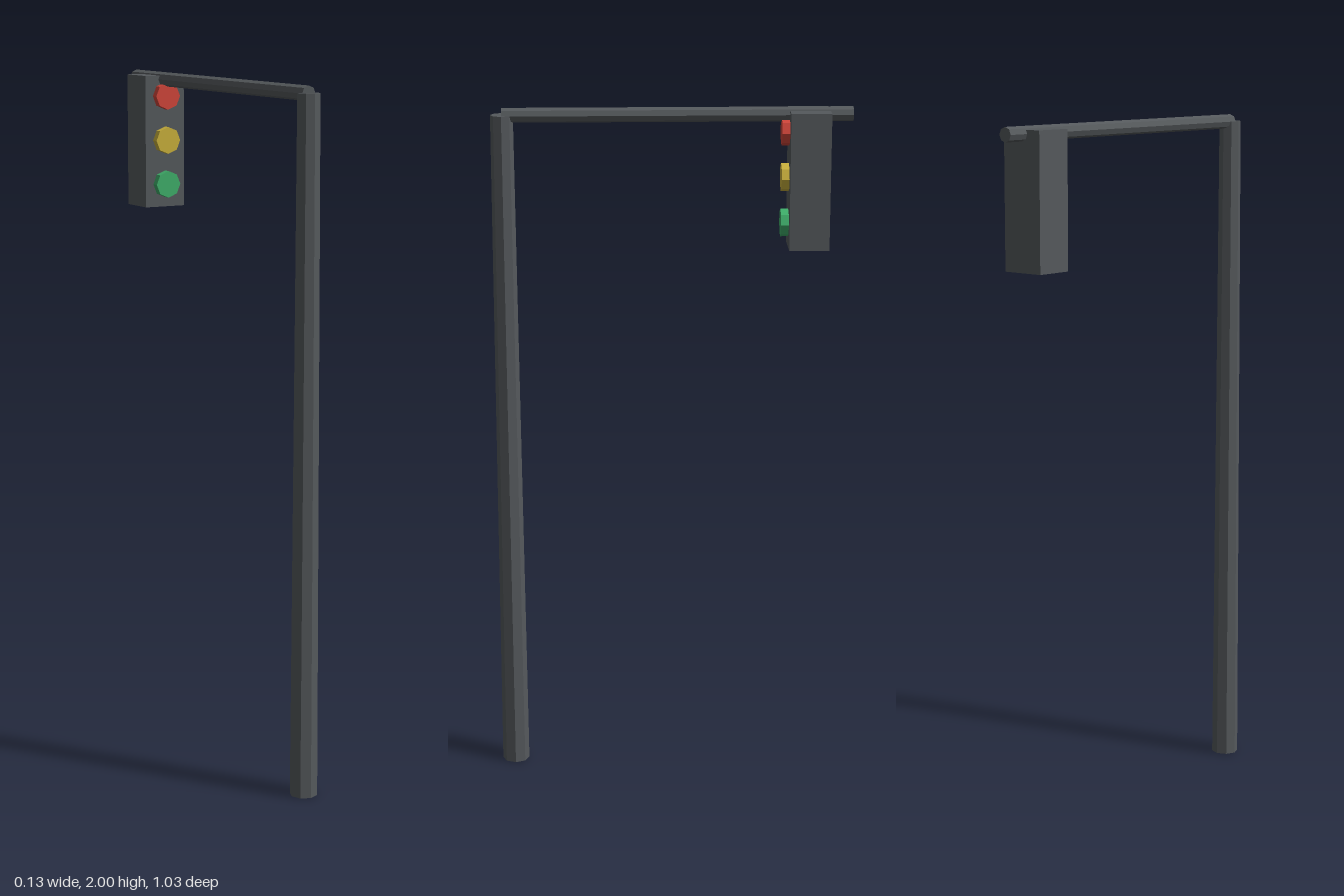
import * as THREE from 'three';

const material = (color) => new THREE.MeshStandardMaterial({ color, flatShading: true });

export function createModel() {
  const group = new THREE.Group();
  const metal = material(0x55595c);

  const add = (name, geometry, mat, x, y, z) => {
    const mesh = new THREE.Mesh(geometry, mat);
    mesh.name = name;
    mesh.position.set(x, y, z);
    group.add(mesh);
    return mesh;
  };

  // Tapered eight-sided upright
  add('pole', new THREE.CylinderGeometry(0.032, 0.04, 1.98, 8), metal, 0, 0.99, 0.472);

  // Horizontal arm reaching back from the top of the pole
  add('arm', new THREE.CylinderGeometry(0.021, 0.021, 0.987, 8).rotateX(Math.PI / 2), metal, 0, 1.979, -0.0215);

  // Signal housing hung on the arm
  add('signalHousing', new THREE.BoxGeometry(0.13, 0.39, 0.114), metal, 0, 1.795, -0.393);

  // Three lamps on the front of the housing
  const lamps = [['redLamp', 0xd0453a], ['yellowLamp', 0xc9b03c], ['greenLamp', 0x3fae6a]];
  lamps.forEach(([name, color], i) => {
    const disc = new THREE.CylinderGeometry(0.04, 0.04, 0.03, 8).rotateX(Math.PI / 2);
    add(name, disc, material(color), 0, 1.93 - i * 0.131, -0.329);
  });

  return group;
}
